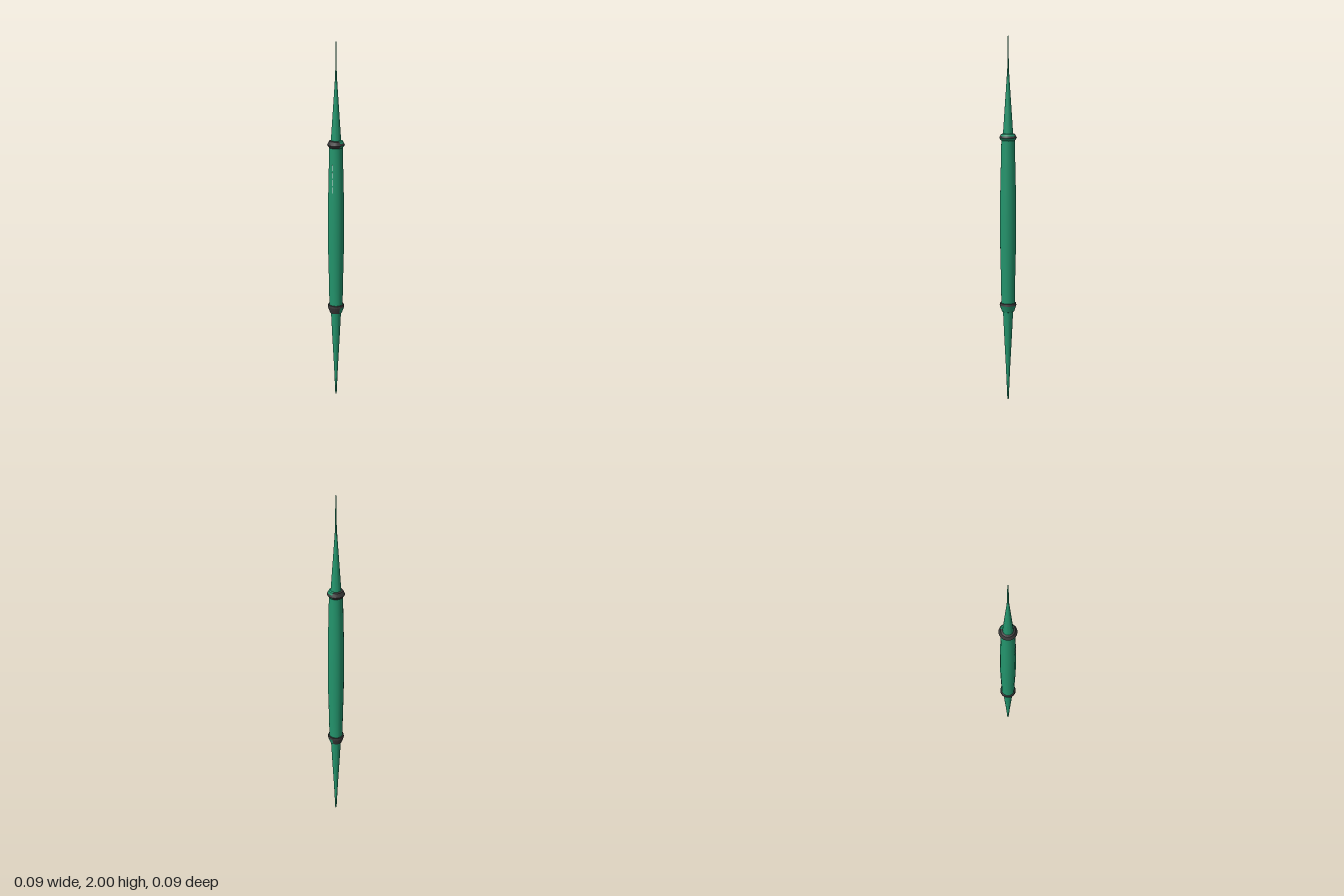
import * as THREE from 'three';
import { toCreasedNormals } from 'three/addons/utils/BufferGeometryUtils.js';

const DEG = Math.PI / 180;

export function createModel() {
  const mat = (name, color) => Object.assign(new THREE.MeshStandardMaterial({ color }), { name });
  const green = mat('green', 0x23946c);
  const charcoal = mat('charcoal', 0x383838);
  const white = mat('white', 0xe4e8e6);

  const model = new THREE.Group();
  model.name = 'spindle';

  // Turned part from [radius, height] pairs, listed bottom to top
  const turn = (name, profile, material, start = 0, sweep = 360) => {
    const points = profile.map(([r, y]) => new THREE.Vector2(r, y));
    const segments = Math.max(2, Math.round(sweep / 20));
    const geo = new THREE.LatheGeometry(points, segments, start * DEG, sweep * DEG);
    const mesh = new THREE.Mesh(toCreasedNormals(geo, 35 * DEG), material);
    mesh.name = name;
    model.add(mesh);
  };

  // Lower spike, swelling body and upper spike with its needle tip
  turn('lowerSpike', [[0, 0], [0.004, 0.005], [0.012, 0.19], [0.022, 0.38], [0.029, 0.53]], green);
  turn('body', [[0.02, 0.54], [0.037, 0.54], [0.039, 0.68], [0.043, 0.86], [0.044, 1.02],
    [0.043, 1.16], [0.039, 1.33], [0.036, 1.46], [0.02, 1.46]], green);
  turn('upperSpike', [[0.029, 1.46], [0.021, 1.58], [0.012, 1.71], [0.004, 1.83],
    [0.003, 1.99], [0, 2]], green);

  // Collars: charcoal around the front and left, green at the back right
  const from = 70, sweep = 130;
  const lower = [[0.029, 0.51], [0.034, 0.512], [0.046, 0.548], [0.043, 0.56], [0.034, 0.562]];
  const upper = [[0.034, 1.447], [0.037, 1.449], [0.047, 1.464], [0.037, 1.484], [0.027, 1.487]];
  turn('lowerCollar', lower, charcoal, from + sweep, 360 - sweep);
  turn('lowerCollarBack', lower.slice(0, 3), green, from, sweep);
  turn('lowerCollarRim', lower.slice(2), charcoal, from, sweep);
  turn('upperCollar', upper, charcoal, from + sweep, 360 - sweep);
  turn('upperCollarUnderside', upper.slice(0, 3), green, from, sweep);
  turn('upperCollarRim', [[0.047, 1.464], [0.042, 1.474]], charcoal, from, sweep);
  turn('upperCollarTop', [[0.042, 1.474], [0.037, 1.484], [0.027, 1.487]], green, from, sweep);

  // Fine pale dashes on the front of the body
  for (let i = 0; i < 4; i++) {
    const y = 1.225 + i * 0.04;
    const r = 0.0425 - (y - 1.16) * 0.0235;
    const dash = new THREE.Mesh(new THREE.BoxGeometry(0.003, 0.032, 0.002), white);
    dash.name = 'frontDash';
    dash.position.set(r * Math.sin(11 * DEG), y, r * Math.cos(11 * DEG));
    dash.rotation.y = 11 * DEG;
    model.add(dash);
  }
  return model;
}
